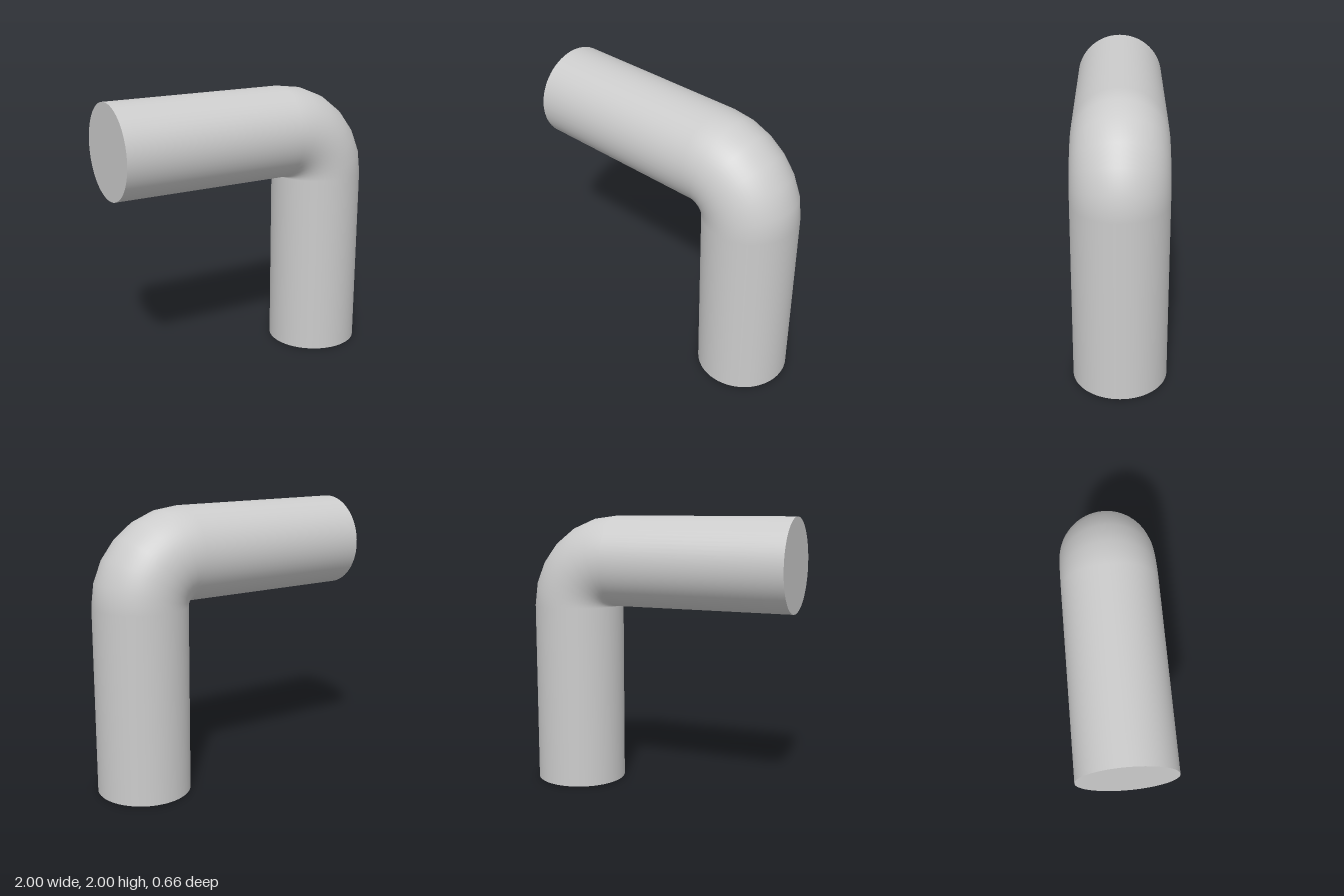
import * as THREE from 'three';

const R = 0.332;              // pipe radius
const CORNER = 1 - 2 * R;     // x of the bend's inner corner
const HEIGHT = 2 - 2 * R;     // y of the bend's inner corner
const SIDES = 64;

export function createModel() {
  const group = new THREE.Group();
  const material = new THREE.MeshStandardMaterial({ color: 0xcccccc });

  // Straight pipe running down local -y from its joint, closed at the far end
  function pipe(name, length) {
    const part = new THREE.Group();
    part.name = name;
    const wall = new THREE.Mesh(new THREE.CylinderGeometry(R, R, length, SIDES, 1, true), material);
    wall.name = name + 'Wall';
    wall.position.y = -length / 2;
    const cap = new THREE.Mesh(new THREE.CircleGeometry(R, SIDES), material);
    cap.name = name + 'EndCap';
    cap.rotation.x = Math.PI / 2;
    cap.position.y = -length;
    part.add(wall, cap);
    group.add(part);
    return part;
  }

  // Upright leg
  pipe('verticalPipe', HEIGHT).position.set(1 - R, HEIGHT, 0);

  // Level arm, pointing to -x
  const arm = pipe('horizontalPipe', CORNER + 1);
  arm.rotation.z = -Math.PI / 2;
  arm.position.set(CORNER, 2 - R, 0);

  // Quarter bend in six steps, with its inner side pinched to a point
  const elbow = new THREE.Mesh(new THREE.TorusGeometry(R, R, SIDES, 6, Math.PI / 2), material);
  elbow.name = 'elbow';
  elbow.position.set(CORNER, HEIGHT, 0);
  group.add(elbow);

  return group;
}
